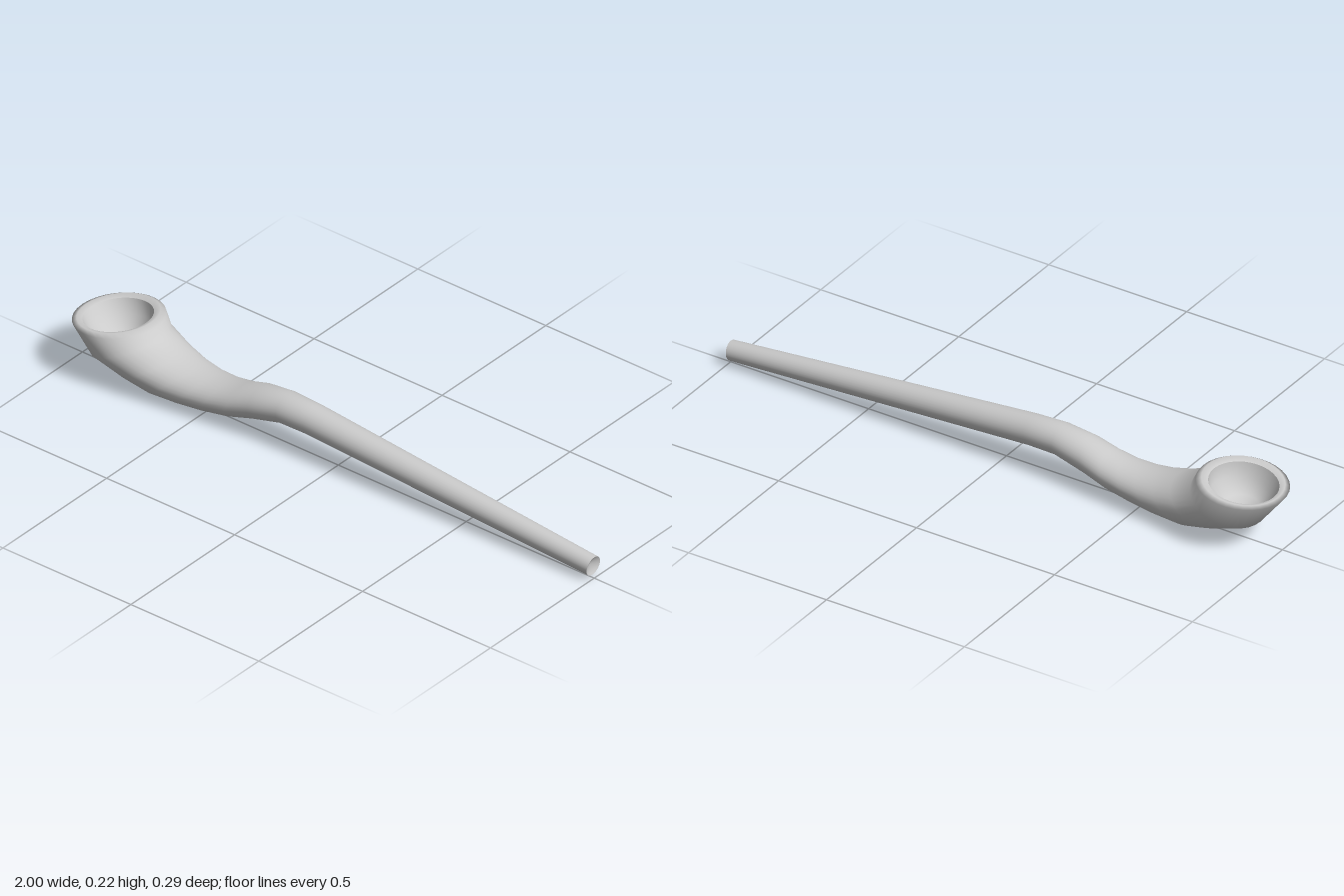
import * as THREE from 'three';
import { mergeVertices } from 'three/addons/utils/BufferGeometryUtils.js';

const SIDES = 32;

// Skins a row of elliptical sections, each [bottomX, bottomY, topX, topY, halfWidth]
function loft(name, sections) {
  const positions = [], index = [];
  for (const [bx, by, tx, ty, w] of sections) {
    for (let j = 0; j < SIDES; j++) {
      const a = (j / SIDES) * Math.PI * 2;
      const k = (1 + Math.cos(a)) / 2;
      positions.push(bx + (tx - bx) * k, by + (ty - by) * k, Math.sin(a) * w);
    }
  }
  for (let i = 0; i < sections.length - 1; i++) {
    for (let j = 0; j < SIDES; j++) {
      const n = (j + 1) % SIDES;
      const a = i * SIDES + j, b = i * SIDES + n;
      const c = a + SIDES, d = b + SIDES;
      index.push(a, b, c, b, d, c);
    }
  }
  let geometry = new THREE.BufferGeometry();
  geometry.setAttribute('position', new THREE.Float32BufferAttribute(positions, 3));
  geometry.setIndex(index);
  geometry = mergeVertices(geometry, 1e-5);
  geometry.computeVertexNormals();
  const mesh = new THREE.Mesh(geometry, new THREE.MeshStandardMaterial({ color: 0xcccccc }));
  mesh.name = name;
  return mesh;
}

export function createModel() {
  const pipe = new THREE.Group();
  pipe.name = 'smokingPipe';

  const lip = [-0.968, 0.178, -0.752, 0.209, 0.11];
  const tip = [0.993, 0.012, 1, 0.077, 0.0325];

  // Hollow of the bowl, from the floor up to the lip
  pipe.add(loft('bowlCavity', [
    [-0.85, 0.1, -0.85, 0.1, 0],
    [-0.905, 0.105, -0.795, 0.115, 0.06],
    [-0.94, 0.135, -0.755, 0.16, 0.095],
    lip,
  ]));

  // Rim, bowl, curved neck and tapering stem in one smooth skin
  pipe.add(loft('bowlAndStem', [
    lip,
    [-0.985, 0.183, -0.732, 0.219, 0.13],
    [-1, 0.176, -0.713, 0.208, 0.145],
    [-0.92, 0.075, -0.695, 0.175, 0.135],
    [-0.8, 0.03, -0.62, 0.145, 0.118],
    [-0.706, 0.003, -0.55, 0.131, 0.103],
    [-0.6, 0.002, -0.49, 0.127, 0.09],
    [-0.5, 0.01, -0.43, 0.131, 0.08],
    [-0.4, 0.026, -0.37, 0.144, 0.073],
    [-0.31, 0.053, -0.3, 0.167, 0.066],
    [-0.2, 0.08, -0.2, 0.181, 0.057],
    [-0.1, 0.08, -0.09, 0.177, 0.053],
    tip,
  ]));

  // Shallow dished end of the stem
  pipe.add(loft('mouthEnd', [
    tip,
    [0.991, 0.018, 0.996, 0.071, 0.027],
    [0.982, 0.045, 0.982, 0.045, 0],
  ]));

  return pipe;
}
